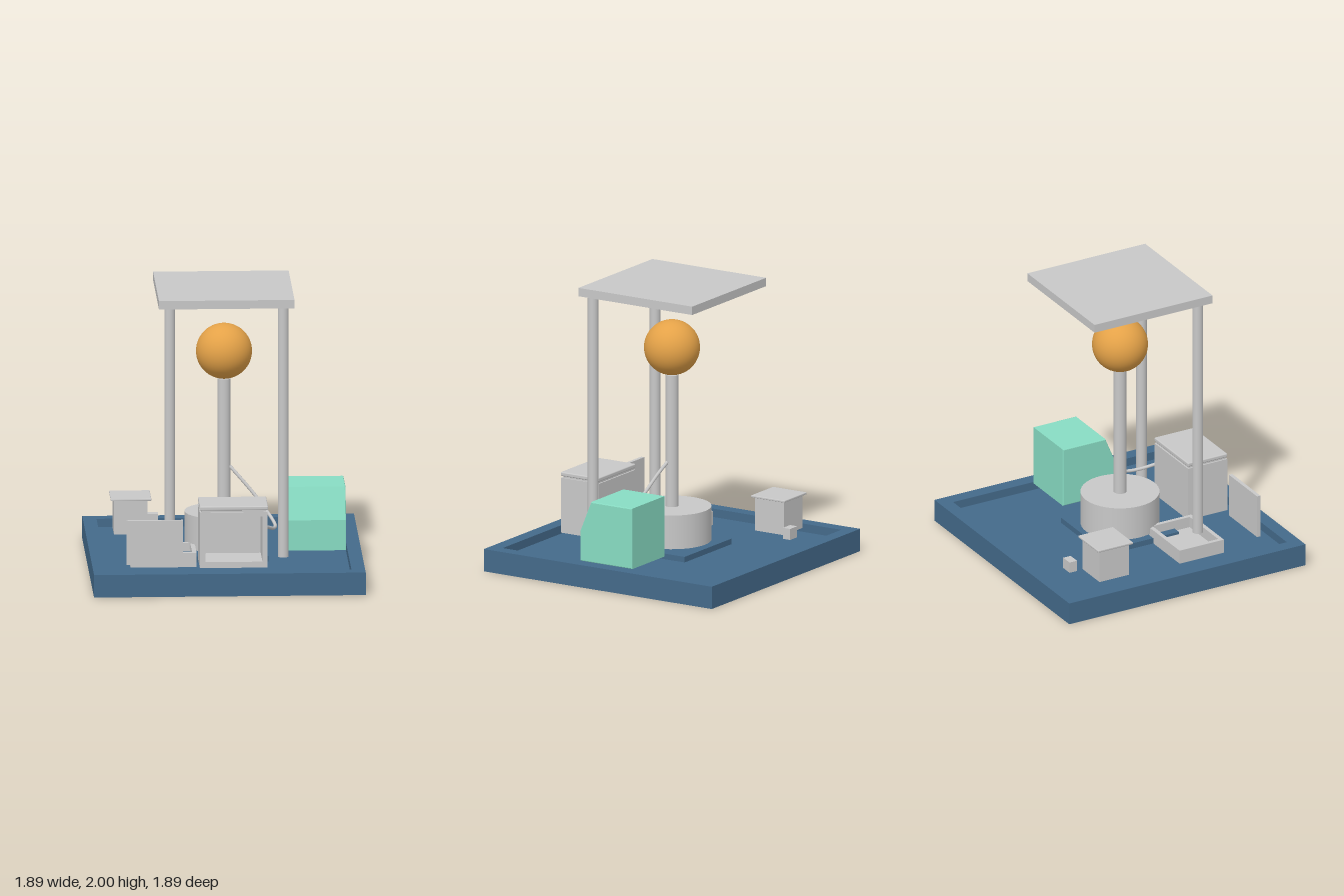
import * as THREE from 'three';
import { RoundedBoxGeometry } from 'three/addons/geometries/RoundedBoxGeometry.js';

export function createModel() {
  const model = new THREE.Group();
  const mat = (name, color) => {
    const m = new THREE.MeshStandardMaterial({ color });
    m.name = name;
    return m;
  };
  const blue = mat('deep blue', 0x446a8a);
  const grey = mat('light grey', 0xc8c8c8);
  const mint = mat('mint green', 0x88dcc3);
  const amber = mat('amber', 0xe4a248);
  const FLOOR = 0.1; // recessed floor inside the rim
  const DECK = 0.158; // level at which the equipment stands

  const add = (name, geometry, material, parent = model) => {
    const mesh = new THREE.Mesh(geometry, material);
    mesh.name = name;
    parent.add(mesh);
    return mesh;
  };
  // Box given by its limits on each axis, optionally with rounded edges
  const box = (name, [x0, x1], [y0, y1], [z0, z1], material, parent, radius = 0) => {
    const size = [x1 - x0, y1 - y0, z1 - z0];
    const geometry = radius ? new RoundedBoxGeometry(...size, 2, radius) : new THREE.BoxGeometry(...size);
    const m = add(name, geometry, material, parent);
    m.position.set((x0 + x1) / 2, (y0 + y1) / 2, (z0 + z1) / 2);
    return m;
  };
  const cylinder = (name, r, y0, y1, x, z, sides) => {
    const m = add(name, new THREE.CylinderGeometry(r, r, y1 - y0, sides), grey);
    m.position.set(x, (y0 + y1) / 2, z);
    return m;
  };
  const rectangle = (Type, x0, x1, y0, y1) => new Type([
    [x0, y0], [x1, y0], [x1, y1], [x0, y1],
  ].map(([x, y]) => new THREE.Vector2(x, y)));
  // Rectangular frame extruded along +z
  const frame = (outer, inner, depth) => {
    const shape = rectangle(THREE.Shape, ...outer);
    shape.holes.push(rectangle(THREE.Path, ...inner));
    return new THREE.ExtrudeGeometry(shape, { depth, bevelEnabled: false });
  };
  const group = (name) => {
    const g = new THREE.Group();
    g.name = name;
    model.add(g);
    return g;
  };

  // Base with raised rim, and plinth under the drum
  const base = group('base');
  box('baseFloor', [-0.945, 0.945], [0, FLOOR], [-0.945, 0.945], blue, base);
  const rim = add('baseRim', frame([-0.945, 0.945, -0.945, 0.945], [-0.85, 0.85, -0.85, 0.85], 0.16 - FLOOR), blue, base);
  rim.rotation.x = -Math.PI / 2;
  rim.position.y = FLOOR;
  box('plinth', [-0.3, 0.3], [FLOOR, 0.14], [-0.3, 0.3], blue, base);

  // Central drum, column and globe
  cylinder('drum', 0.275, DECK, 0.4, 0, 0, 48);
  cylinder('column', 0.045, 0.4, 1.342, 0, 0, 32);
  add('globe', new THREE.SphereGeometry(0.195, 48, 32), amber).position.y = 1.538;

  // Canopy on two posts
  for (const side of [-1, 1]) {
    cylinder(side > 0 ? 'leftPost' : 'rightPost', 0.0375, DECK, 1.945, side * 0.395, 0.397, 32);
  }
  box('canopy', [-0.473, 0.47], [1.94, 2], [-0.473, 0.47], grey);

  // Machine housing with sloping front and softened edges
  const BEVEL = 0.006;
  const profile = new THREE.Shape([
    [-0.209, DECK + BEVEL], [0.209, DECK + BEVEL], [0.209, 0.372], [0.121, 0.586], [-0.209, 0.586],
  ].map(([z, y]) => new THREE.Vector2(-z, y)));
  const housing = add('housing', new THREE.ExtrudeGeometry(profile, {
    depth: 0.42 - 2 * BEVEL, bevelSize: BEVEL, bevelThickness: BEVEL, bevelSegments: 2,
  }), mint);
  housing.rotation.y = Math.PI / 2;
  housing.position.x = 0.42 + BEVEL;

  // Open cabinet with a lid
  const cabinet = group('cabinet');
  const shell = add('cabinetShell', frame([-0.2, 0.27, DECK, 0.553], [-0.16, 0.235, 0.2, 0.52], 0.285), grey, cabinet);
  shell.position.z = 0.46;
  box('cabinetBack', [-0.2, 0.27], [DECK, 0.553], [0.43, 0.46], grey, cabinet);
  box('lidSpacer', [-0.19, 0.26], [0.553, 0.566], [0.44, 0.735], grey, cabinet);
  box('cabinetLid', [-0.2, 0.275], [0.566, 0.595], [0.43, 0.747], grey, cabinet, 0.008);

  // Hose from the column to the cabinet side
  const path = new THREE.CatmullRomCurve3([
    [0.04, 0.72, 0.012], [0.11, 0.645, 0.045], [0.21, 0.53, 0.085], [0.31, 0.4, 0.15],
    [0.345, 0.35, 0.24], [0.33, 0.348, 0.34], [0.272, 0.39, 0.48],
  ].map((p) => new THREE.Vector3(...p)));
  add('hose', new THREE.TubeGeometry(path, 48, 0.012, 10), grey);

  // Shallow open tray
  const tray = group('tray');
  box('trayFloor', [-0.67, -0.21], [FLOOR, 0.122], [0.095, 0.45], grey, tray);
  const walls = add('trayWalls', frame([-0.67, -0.21, -0.45, -0.095], [-0.64, -0.24, -0.42, -0.125], 0.2 - FLOOR), grey, tray);
  walls.rotation.x = -Math.PI / 2;
  walls.position.y = FLOOR;

  // Standing panel
  box('panel', [-0.71, -0.315], [0.178, 0.492], [0.692, 0.718], grey);

  // Pedestal with overhanging top, and a small block
  const pedestal = group('pedestal');
  box('pedestalBody', [-0.75, -0.515], [DECK, 0.4], [-0.592, -0.355], grey, pedestal);
  box('pedestalTop', [-0.773, -0.49], [0.398, 0.414], [-0.615, -0.335], grey, pedestal, 0.005);
  box('smallBlock', [-0.52, -0.43], [DECK, 0.237], [-0.7, -0.64], grey);

  return model;
}
